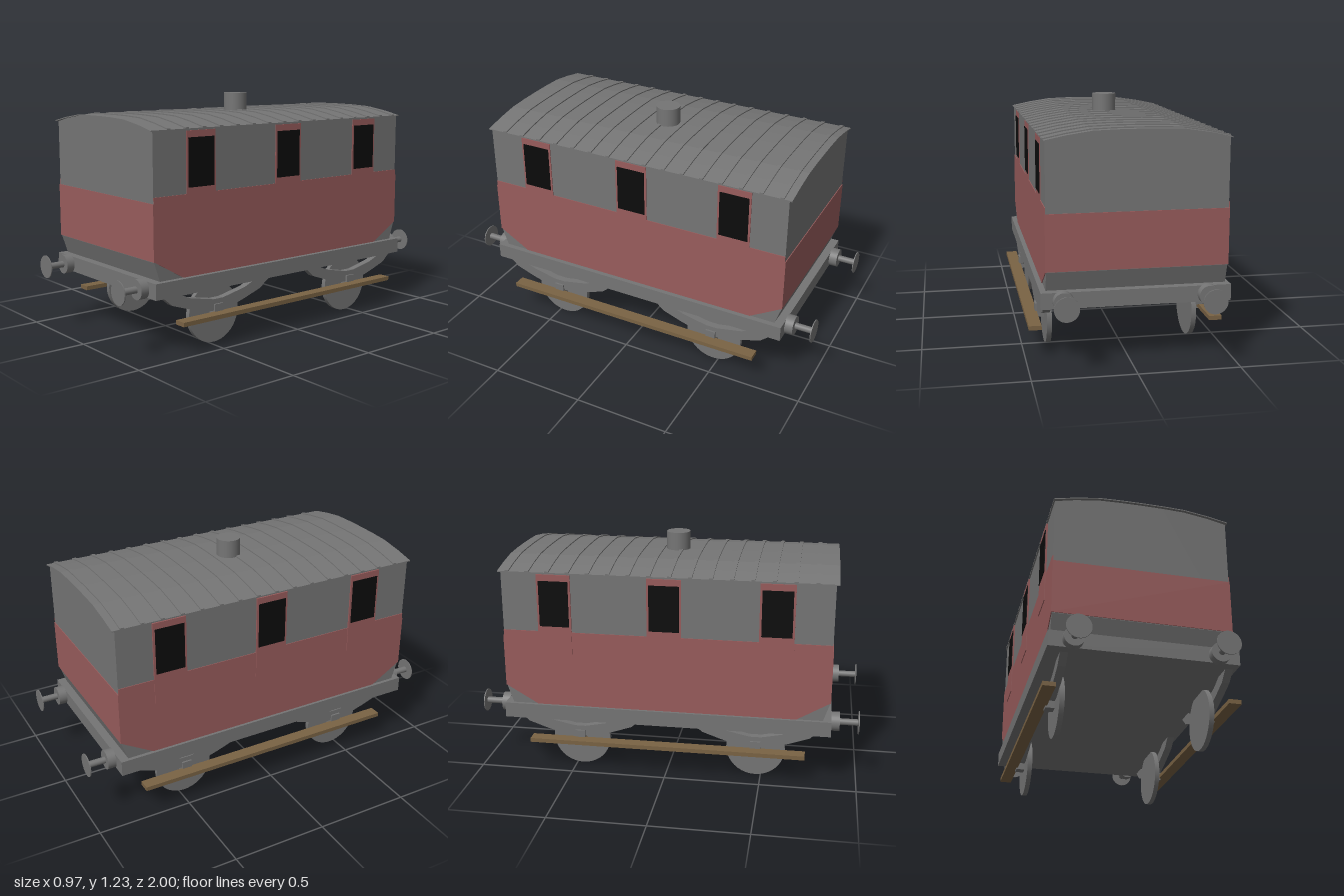
import * as THREE from 'three';

const mat = (name, color) => {
  const m = new THREE.MeshStandardMaterial({ color });
  m.name = name;
  return m;
};

export function createModel() {
  const grey = mat('grey', 0x757575);
  const red = mat('red', 0x985c5c);
  const wood = mat('wood', 0x7a6344);
  const black = mat('black', 0x0b0b0b);

  const model = new THREE.Group();
  model.name = 'railwayCarriage';

  const add = (name, geometry, material, x = 0, y = 0, z = 0) => {
    const mesh = new THREE.Mesh(geometry, material);
    mesh.name = name;
    mesh.position.set(x, y, z);
    model.add(mesh);
    return mesh;
  };
  // Box given by its limits on each axis
  const box = (name, material, x0, x1, y0, y1, z0, z1) =>
    add(name, new THREE.BoxGeometry(x1 - x0, y1 - y0, z1 - z0), material,
      (x0 + x1) / 2, (y0 + y1) / 2, (z0 + z1) / 2);
  const shapeOf = (pts) => new THREE.Shape(pts.map(([a, b]) => new THREE.Vector2(a, b)));
  const extrude = (pts, depth) =>
    new THREE.ExtrudeGeometry(shapeOf(pts), { depth, bevelEnabled: false });
  // (x, y) outline pushed along z
  const endExtrude = (name, material, pts, z0, z1) =>
    add(name, extrude(pts, z1 - z0), material, 0, 0, z0);
  // (z, y) outline pushed along x
  const sideExtrude = (name, material, pts, x0, x1) =>
    add(name, extrude(pts, x1 - x0).rotateY(-Math.PI / 2), material, x1, 0, 0);

  const L = -0.469, R = 0.409, C = -0.03, T = 0.004;
  const END = 0.845;

  // Roof curve, raised by d
  const roofLine = (d, half = 0.444) => [
    [-half, 1.083], [-0.34, 1.105], [-0.22, 1.123], [-0.11, 1.127], [0, 1.128],
    [0.11, 1.127], [0.22, 1.123], [0.34, 1.105], [half, 1.083],
  ].map(([x, y]) => [C + x, y + d]);

  // Upper body and tapered lower hull
  endExtrude('upperBody', grey, [[R, 0.465], ...roofLine(0, 0.439).reverse(), [L, 0.465]], -END, END);
  sideExtrude('lowerHull', grey,
    [[-0.81, 0.36], [0.81, 0.36], [END, 0.465], [-END, 0.465]], L, R);

  // Roof sheet and its ribs
  const band = (d0, d1) => [...roofLine(d0, 0.446), ...roofLine(d1, 0.446).reverse()];
  endExtrude('roof', grey, band(0, 0.005), -0.86, 0.86);
  for (let i = 0; i < 16; i++) {
    const z = 0.756 - i * 0.1044;
    endExtrude('roofRib', grey, band(0.003, 0.011), z - 0.01, z + 0.01);
  }
  add('chimney', new THREE.CylinderGeometry(0.063, 0.063, 0.107, 32), grey, -0.015, 1.1735, 0.003);

  // Painted red bands on the ends
  for (const s of [-1, 1]) {
    const z = s * (END + T / 2);
    box('endBand', red, L - T, R + T, 0.468, 0.745, z - T / 2, z + T / 2);
  }

  // Painted red sides, with door frames rising around the windows
  const windows = [-0.57, -0.002, 0.566];
  const sideOutline = [[-0.67, 0.365], [0.67, 0.365], [END, 0.468], [END, 0.775]];
  for (const z of [...windows].reverse()) {
    sideOutline.push([z + 0.088, 0.775], [z + 0.088, 1.078], [z - 0.088, 1.078], [z - 0.088, 0.775]);
  }
  sideOutline.push([-END, 0.775], [-END, 0.468]);
  sideExtrude('rightSidePanel', red, sideOutline, R, R + T);
  sideExtrude('leftSidePanel', red, sideOutline, L - T, L);
  for (const z of windows) {
    box('window', black, R + T, R + T + 0.003, 0.805, 1.045, z - 0.077, z + 0.077);
    box('door', red, L - 0.008, L - T, 0.635, 1.078, z - 0.088, z + 0.088);
    box('window', black, L - 0.011, L - 0.008, 0.805, 1.045, z - 0.077, z + 0.077);
  }

  // Chassis
  box('chassis', grey, -0.487, 0.437, 0.29, 0.37, -0.857, 0.857);

  // Buffers: socket, rod and disc
  const rod = (name, r, z0, z1, x) =>
    add(name, new THREE.CylinderGeometry(r, r, Math.abs(z1 - z0), 32).rotateX(Math.PI / 2),
      grey, x, 0.33, (z0 + z1) / 2);
  for (const s of [-1, 1]) {
    for (const x of [-0.37, 0.332]) {
      rod('bufferSocket', 0.05, s * 0.855, s * 0.9, x);
      rod('bufferRod', 0.017, s * 0.89, s * 0.997, x);
      rod('bufferDisc', 0.06, s * 0.995, s, x);
    }
  }

  // Running gear: wheels, curved springs, axle boxes and footboards
  const spring = [
    [-0.34, 0.295], [-0.28, 0.243], [-0.18, 0.208], [-0.07, 0.175], [0.07, 0.175],
    [0.18, 0.208], [0.28, 0.243], [0.34, 0.295], [0.25, 0.295], [0.17, 0.262],
    [0.03, 0.233], [-0.03, 0.233], [-0.17, 0.262], [-0.25, 0.295],
  ];
  for (const s of [-1, 1]) {
    const span = (a, b) => (s > 0 ? [a, b] : [-b, -a]);
    for (const z of [-0.47, 0.47]) {
      add('wheel', new THREE.CylinderGeometry(0.155, 0.155, 0.025, 40).rotateZ(Math.PI / 2),
        grey, s * 0.37, 0.155, z);
      sideExtrude('spring', grey, spring.map(([a, y]) => [z + a, y]), ...span(0.381, 0.419));
      box('axleBox', grey, ...span(0.38, 0.428), 0.138, 0.208, z - 0.027, z + 0.027);
    }
    box('footboard', wood, ...span(0.42, 0.483), 0.148, 0.17, -0.73, 0.73);
  }

  return model;
}
